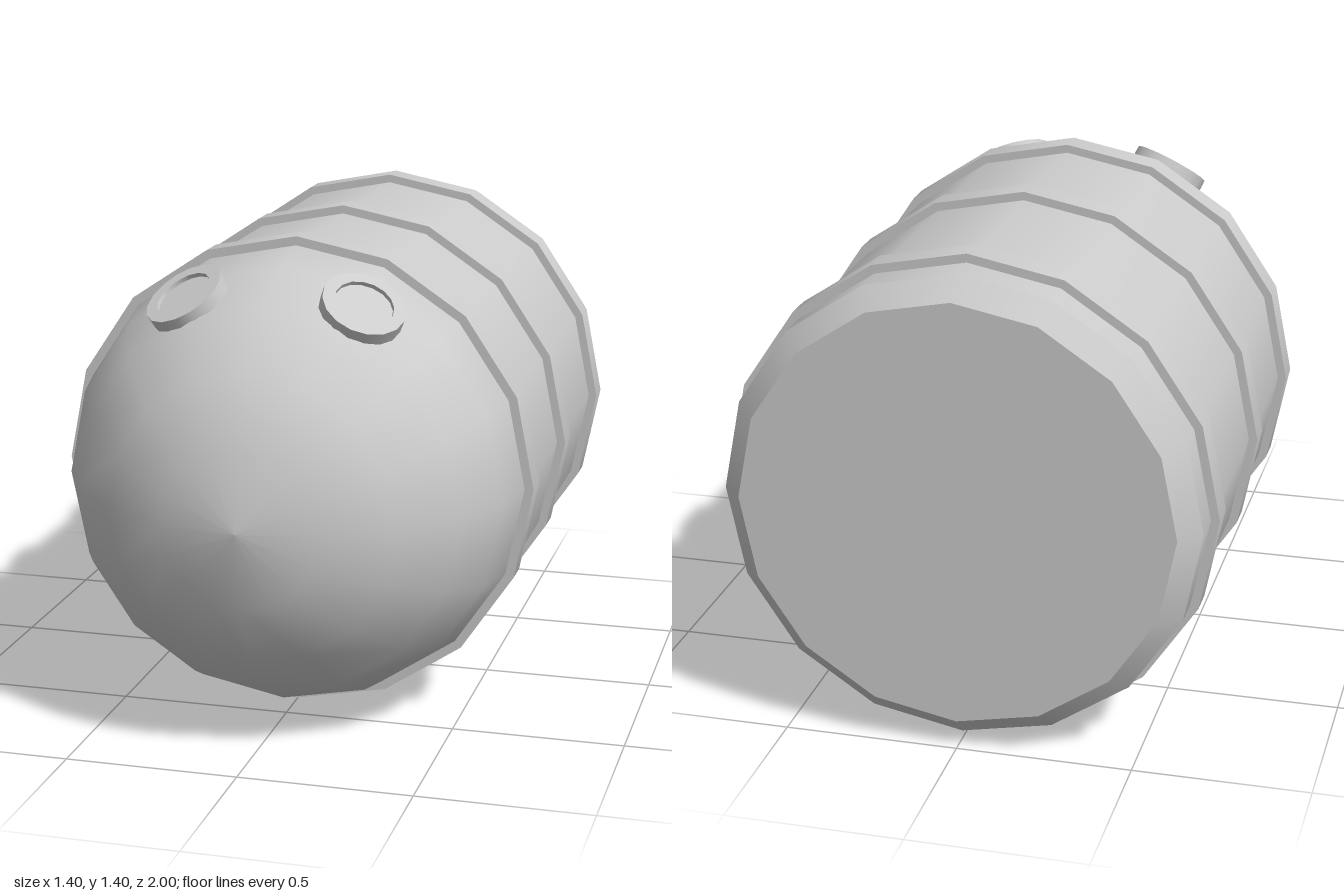
import * as THREE from 'three';
import { mergeGeometries } from 'three/addons/utils/BufferGeometryUtils.js';

const SIDES = 16;
const CENTRE_Y = 0.7;

// Smooth lathe around the y axis; profile runs as [radius, height] pairs
const lathe = (profile, sides = SIDES) =>
  new THREE.LatheGeometry(profile.map(([r, h]) => new THREE.Vector2(r, h)), sides);

// Lathe with a sharp edge at every profile point
const sharpLathe = (profile, sides = SIDES) =>
  mergeGeometries(profile.slice(1).map((p, i) => lathe([profile[i], p], sides)));

export function createModel() {
  const grey = new THREE.MeshStandardMaterial({ color: 0xcccccc });
  grey.name = 'light grey';

  const model = new THREE.Group();
  model.name = 'capsule';

  const add = (name, geometry) => {
    const mesh = new THREE.Mesh(geometry, grey);
    mesh.name = name;
    model.add(mesh);
    return mesh;
  };
  // Parts turned around the long axis, laid down along z
  const addTurned = (name, geometry) =>
    add(name, geometry.rotateX(Math.PI / 2).translate(0, CENTRE_Y, 0));

  // Barrel and rounded nose in one smooth skin
  addTurned('hull', lathe([
    [0.675, -0.94], [0.675, 0.37], [0.642, 0.53], [0.56, 0.7],
    [0.413, 0.858], [0.222, 0.967], [0, 1],
  ]));

  // Flat rear end with a bevelled rim
  addTurned('rearCap', sharpLathe([[0, -1], [0.615, -1], [0.675, -0.94]]));

  // Three raised hoops
  [0.332, -0.196, -0.796].forEach((z, i) => {
    const a = z - 0.0435, b = z + 0.0435;
    addTurned(`hoop${i + 1}`, sharpLathe([[0.66, a], [0.7, a], [0.7, b], [0.66, b]]));
  });

  // Two round portholes with raised rims on the upper nose
  const up = new THREE.Vector3(0, 1, 0);
  for (const side of [1, -1]) {
    const normal = new THREE.Vector3(0.378 * side, 0.823, 0.425).normalize();
    const port = add(side > 0 ? 'leftPorthole' : 'rightPorthole', sharpLathe([
      [0.12, -0.03], [0.12, 0.017], [0.085, 0.017], [0.085, 0.004], [0, 0.004],
    ]));
    port.quaternion.setFromUnitVectors(up, normal);
    port.position.set(0.255 * side, 1.255, 0.607);
  }

  return model;
}
